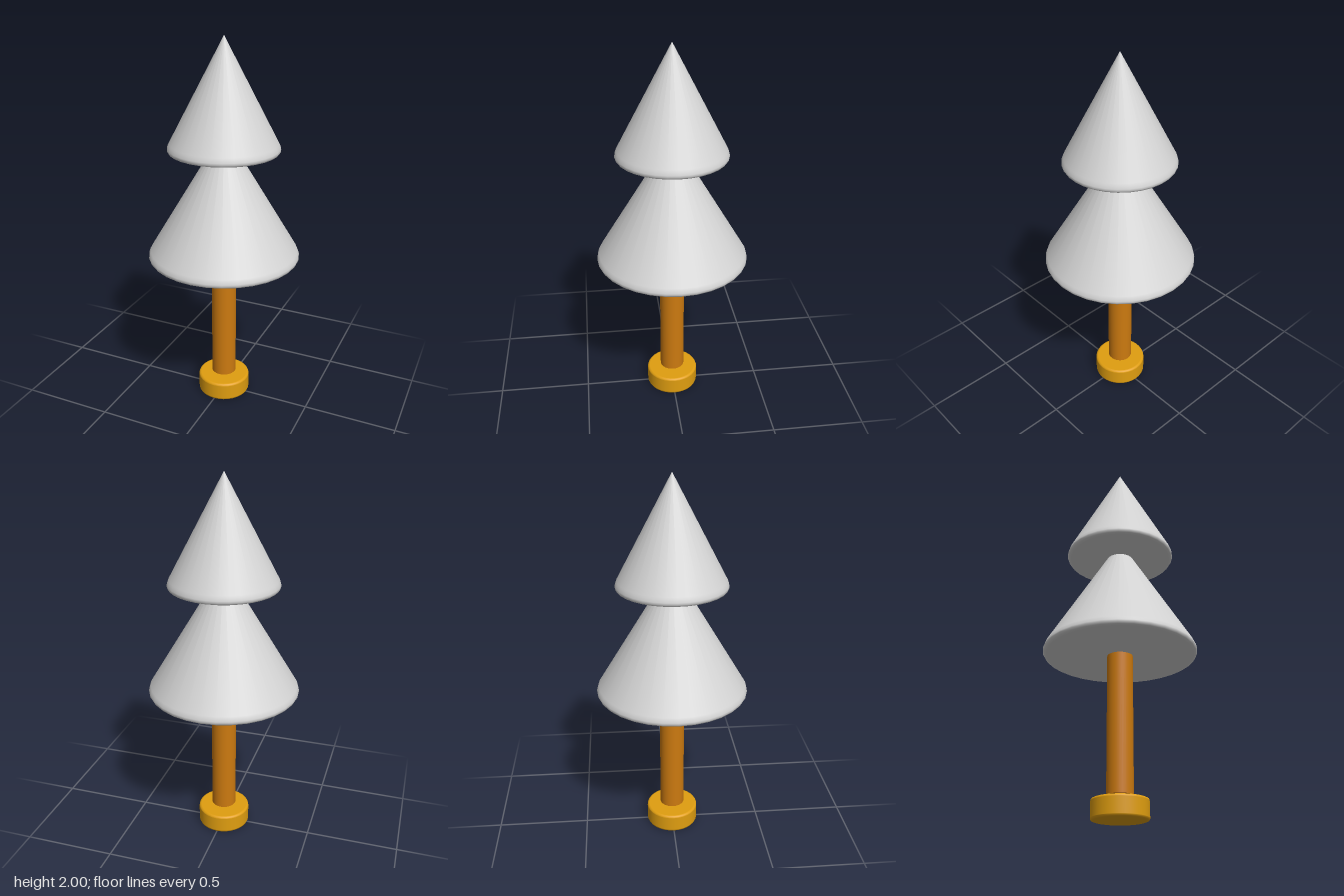
import * as THREE from 'three';

const SIDES = 32;

// Turned part from [radius, height] points, listed from bottom centre to top centre
function turned(name, points, material) {
  const profile = points.map(([r, y]) => new THREE.Vector2(r, y));
  const mesh = new THREE.Mesh(new THREE.LatheGeometry(profile, SIDES), material);
  mesh.name = name;
  return mesh;
}

// Cone with a flat underside and a softly rounded rim
function foliage(name, radius, bottom, top, material) {
  const r = radius;
  return turned(name, [
    [0, bottom], [r - 0.022, bottom], [r - 0.018, bottom],
    [r - 0.006, bottom + 0.004], [r, bottom + 0.014],
    [r - 0.001, bottom + 0.024], [r - 0.006, bottom + 0.038],
    [r - 0.011, bottom + 0.038 + 0.005 * (top - bottom - 0.038) / (r - 0.006)],
    [0.003, top - 0.003 * (top - bottom - 0.038) / (r - 0.006)], [0, top],
  ], material);
}

// Disc with small rounded edges
function disc(name, r, bottom, top, b, material) {
  const c = b * 0.3;
  return turned(name, [
    [0, bottom], [r - b - 0.002, bottom], [r - b, bottom], [r - c, bottom + c],
    [r, bottom + b], [r, bottom + b + 0.002], [r, top - b - 0.002], [r, top - b],
    [r - c, top - c], [r - b, top], [r - b - 0.002, top], [0, top],
  ], material);
}

export function createModel() {
  const grey = new THREE.MeshStandardMaterial({ color: 0xd4d4d4 });
  grey.name = 'pale grey';
  const wood = new THREE.MeshStandardMaterial({ color: 0xcc7a10 });
  wood.name = 'brown wood';
  const amber = new THREE.MeshStandardMaterial({ color: 0xe09e10 });
  amber.name = 'amber';

  const tree = new THREE.Group();
  tree.name = 'tree';

  // Base, with the trunk floating just above it
  tree.add(disc('base', 0.143, 0, 0.103, 0.01, amber));
  const trunk = new THREE.Mesh(new THREE.CylinderGeometry(0.067, 0.067, 0.73, SIDES), wood);
  trunk.name = 'trunk';
  trunk.position.y = 0.12 + 0.73 / 2;
  tree.add(trunk);

  // Two tiers of foliage
  tree.add(foliage('lowerFoliage', 0.404, 0.84, 1.54, grey));
  tree.add(foliage('upperFoliage', 0.291, 1.422, 2, grey));
  return tree;
}
